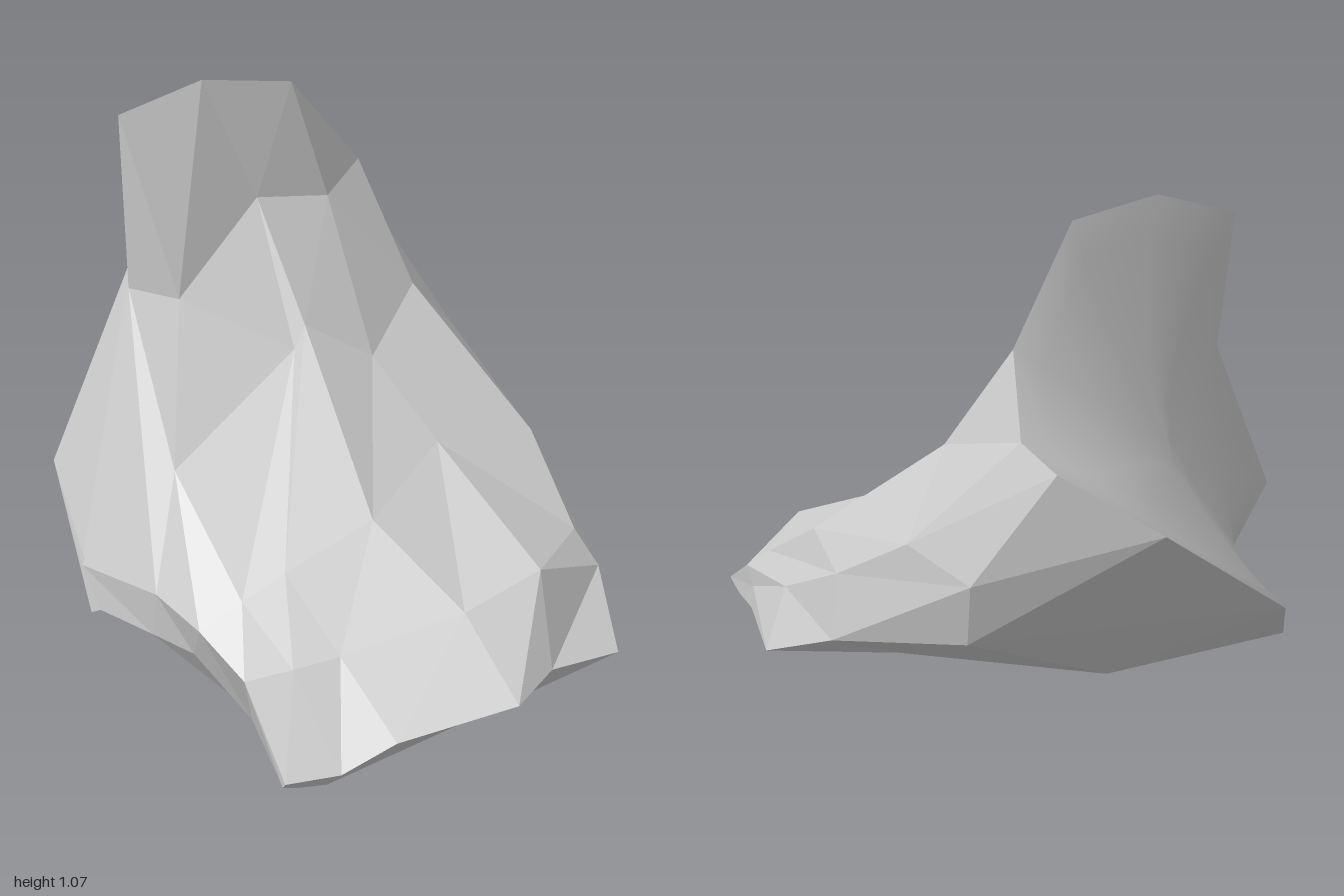
import * as THREE from 'three';
import { mergeVertices } from 'three/addons/utils/BufferGeometryUtils.js';

// Closed cross-sections of the boulder, front lip to raised rear rim.
// Each runs left to right over the upper face, then back underneath.
const lip = [
  [-.24, .06, .12], [-.15, .07, .145], [-.06, .12, .17], [.14, .17, .22], [.23, .2, .17], [.37, .2, .15],
  [.39, .2, .08], [.37, .2, .07], [.3, .18, .1], [.1, .1, .08], [-.15, .03, .09], [-.21, .04, .1], [-.24, .05, .11],
];
const foot = [
  [-.26, .2, 0], [-.18, .215, .02], [-.1, .23, .035], [.11, .29, .08], [.26, .34, .07], [.415, .3, 0],
  [.42, .27, -.03], [.42, .22, -.02], [.33, .19, 0], [.15, .13, -.02], [0, .075, -.03], [-.15, .03, -.07], [-.22, .1, -.06],
];
const waist = [
  [-.29, .25, -.12], [-.22, .3, -.1], [-.14, .34, -.1], [.025, .41, -.1], [.21, .49, -.22], [.4, .35, -.06],
  [.46, .36, -.22], [.51, .25, -.23], [.38, .22, -.12], [.18, .17, -.12], [0, .1, -.13], [-.21, .1, -.15], [-.28, .19, -.17],
];
const chest = [
  [-.32, .28, -.24], [-.25, .47, -.32], [.015, .635, -.4], [.04, .675, -.41], [.16, .61, -.38], [.415, .475, -.25],
  [.46, .46, -.4], [.48, .34, -.41], [.35, .28, -.42], [.16, .2, -.34], [-.08, .19, -.32], [-.26, .185, -.27], [-.32, .2, -.26],
];
const shoulder = [
  [-.385, .28, -.43], [-.24, .74, -.55], [-.16, .72, -.51], [.01, .88, -.55], [.15, .87, -.55], [.3, .7, -.5],
  [.43, .58, -.58], [.41, .56, -.74], [.39, .43, -.7], [.04, .23, -.62], [-.14, .23, -.57], [-.29, .21, -.43], [-.37, .21, -.38],
];
const rim = [
  [-.4, .45, -.52], [-.23, .78, -.57], [-.23, 1.04, -.61], [-.08, 1.095, -.585], [.09, 1.08, -.575], [.255, .91, -.64],
  [.33, .81, -.77], [.33, .79, -.87], [.21, .7, -1], [-.13, .43, -.9], [-.23, .3, -.78], [-.26, .24, -.63], [-.38, .2, -.4],
];

// Joins neighbouring rings with two triangles per side.
function loft(rings) {
  const n = rings[0].length, index = [];
  for (let s = 0; s < rings.length - 1; s++) {
    for (let i = 0; i < n; i++) {
      const a = s * n + i, b = s * n + (i + 1) % n;
      index.push(a, b, b + n, a, b + n, a + n);
    }
  }
  const geometry = new THREE.BufferGeometry();
  geometry.setAttribute('position', new THREE.Float32BufferAttribute(rings.flat(2), 3));
  geometry.setIndex(index);
  const merged = mergeVertices(geometry, 1e-4);
  merged.computeVertexNormals();
  return merged;
}

// Rim shrunk to scale s; its height off the face flattens faster, leaving a soft bowl.
function bowlRing(centre, normal, s) {
  return rim.map(p => {
    const offset = new THREE.Vector3(...p).sub(centre);
    const height = offset.dot(normal);
    return offset.addScaledVector(normal, -height).multiplyScalar(s)
      .addScaledVector(normal, height * s * s).add(centre).toArray();
  });
}

export function createModel() {
  const group = new THREE.Group();
  group.name = 'boulder';
  const add = (name, geometry, flatShading) => {
    const material = new THREE.MeshStandardMaterial({ color: 0xcccccc, flatShading, side: THREE.DoubleSide });
    const mesh = new THREE.Mesh(geometry, material);
    mesh.name = name;
    group.add(mesh);
  };

  // Faceted body, closed at the front lip
  const lipEnd = lip.map(() => [.08, .12, .14]);
  add('rockBody', loft([lipEnd, lip, foot, waist, chest, shoulder, rim]), true);

  // Smooth, slightly hollow rear face
  const centre = new THREE.Vector3(-.03, .66, -.71);
  const normal = new THREE.Vector3(-.49, .52, -.7).normalize();
  const scales = [1, .85, .7, .55, .4, .25, .1, 0];
  add('rearFace', loft(scales.map(s => bowlRing(centre, normal, s))), false);

  return group;
}
